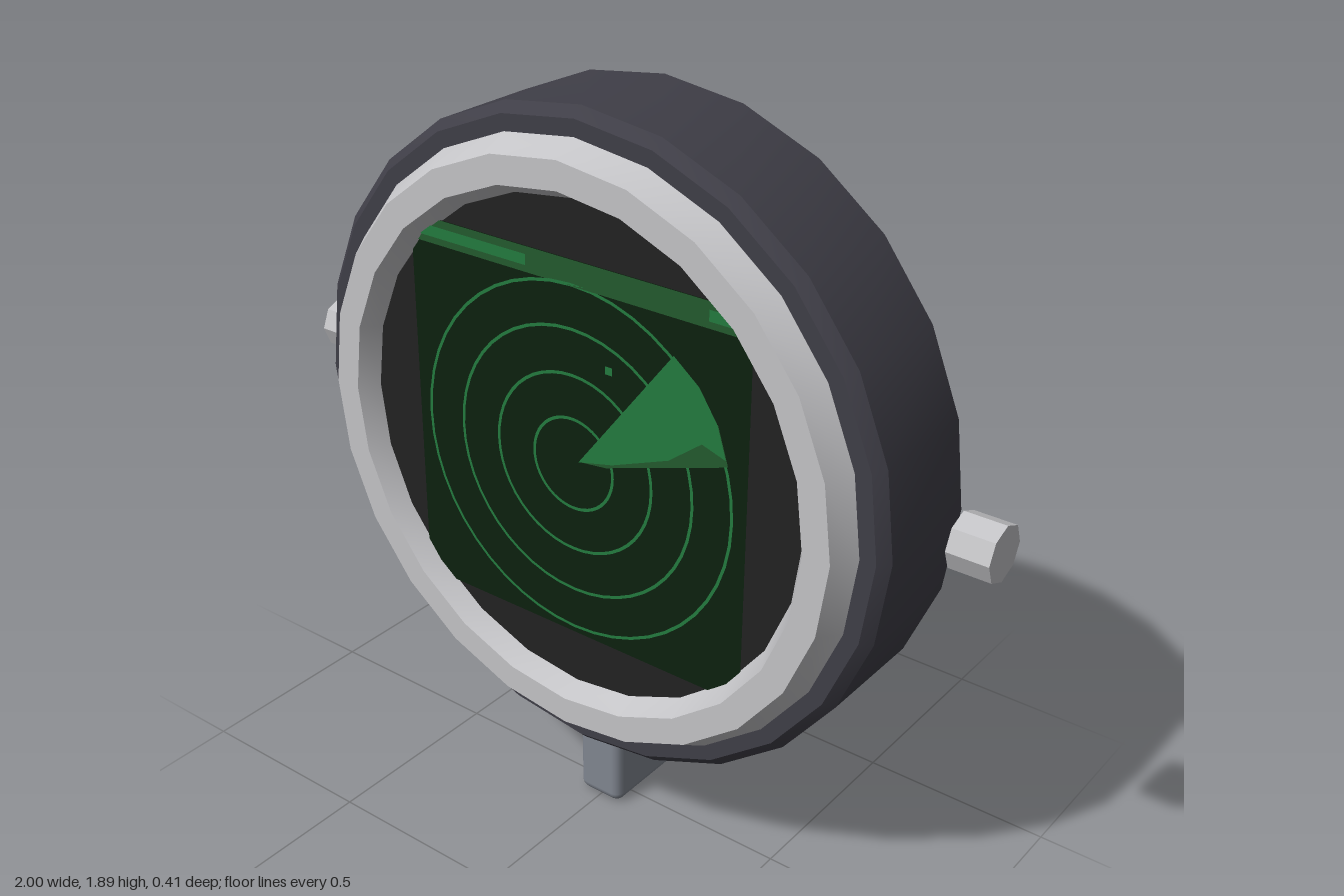
import * as THREE from 'three';
import { toCreasedNormals } from 'three/addons/utils/BufferGeometryUtils.js';
import { RoundedBoxGeometry } from 'three/addons/geometries/RoundedBoxGeometry.js';

const CY = 1.055; // height of the dial centre

function material(name, color) {
  const m = new THREE.MeshStandardMaterial({ color });
  m.name = name;
  return m;
}

export function createModel() {
  const casing = material('charcoal casing', 0x3f3e47);
  const metal = material('light metal', 0xc3c3c6);
  const steel = material('blue grey steel', 0x808690);
  const face = material('black face', 0x222222);
  const screenGreen = material('dark green', 0x0c200e);
  const midGreen = material('mid green', 0x235a2e);
  const brightGreen = material('bright green', 0x237a3e);

  const model = new THREE.Group();
  model.name = 'radarDisplay';
  const add = (name, geometry, mat, x, y, z, parent = model) => {
    const mesh = new THREE.Mesh(geometry, mat);
    mesh.name = name;
    mesh.position.set(x, y, z);
    parent.add(mesh);
    return mesh;
  };

  // Chamfered round casing
  const profile = [[0, -0.205], [0.81, -0.205], [0.835, -0.18], [0.835, 0.118], [0.81, 0.143], [0, 0.143]]
    .map(([r, z]) => new THREE.Vector2(r, z));
  const body = new THREE.LatheGeometry(profile, 24).rotateX(Math.PI / 2);
  add('casing', toCreasedNormals(body, 0.5), casing, 0, CY, 0);

  // Bezel with a six-sided section
  add('bezel', toCreasedNormals(new THREE.TorusGeometry(0.7, 0.07, 6, 24), 0.6), metal, 0, CY, 0.145);

  // Black dial face
  const dial = new THREE.CylinderGeometry(0.66, 0.66, 0.02, 24).rotateX(Math.PI / 2);
  add('dialFace', dial, face, 0, CY, 0.144);

  // Side knobs, set just clear of the casing
  for (const [name, side] of [['leftKnob', 1], ['rightKnob', -1]]) {
    const knob = new THREE.CylinderGeometry(0.07, 0.07, 0.105, 8).rotateZ(Math.PI / 2);
    add(name, toCreasedNormals(knob, 0.5), metal, side * 0.9475, CY, -0.067);
  }

  // Rounded foot
  add('foot', new RoundedBoxGeometry(0.132, 0.212, 0.275, 2, 0.025), steel, 0, 0.106, -0.067);

  // Screen and its painted graphics
  const screen = new THREE.Group();
  screen.name = 'screen';
  model.add(screen);
  const plate = (name, x0, x1, y0, y1, z, mat) =>
    add(name, new THREE.PlaneGeometry(x1 - x0, y1 - y0), mat, (x0 + x1) / 2, (y0 + y1) / 2, z, screen);
  plate('screenPanel', -0.49, 0.49, 0.565, 1.55, 0.158, screenGreen);
  plate('statusBar', -0.49, 0.49, 1.487, 1.55, 0.161, midGreen);
  plate('leftStatusMark', -0.47, -0.13, 1.505, 1.532, 0.164, brightGreen);
  plate('rightStatusMark', 0.38, 0.47, 1.505, 1.532, 0.164, brightGreen);
  plate('blip', 0.1, 0.12, 1.3, 1.32, 0.164, brightGreen);

  // Range rings
  for (const r of [0.118, 0.23, 0.345, 0.453]) {
    add('rangeRing', new THREE.RingGeometry(r - 0.004, r + 0.004, 48), brightGreen, 0, 1.037, 0.161, screen);
  }

  // Two-tone sweep
  const polygon = (points) =>
    new THREE.ShapeGeometry(new THREE.Shape(points.map(([x, y]) => new THREE.Vector2(x, y))));
  add('sweepTrail', polygon([[0.02, 1.05], [0.1, 1.06], [0.44, 1.175], [0.41, 1.27], [0.3, 1.25]]),
    midGreen, 0, 0, 0.163, screen);
  add('sweep', polygon([[0.02, 1.05], [0.12, 1.075], [0.28, 1.14], [0.37, 1.21], [0.435, 1.19],
    [0.41, 1.27], [0.36, 1.345], [0.29, 1.4]]), brightGreen, 0, 0, 0.165, screen);

  return model;
}
